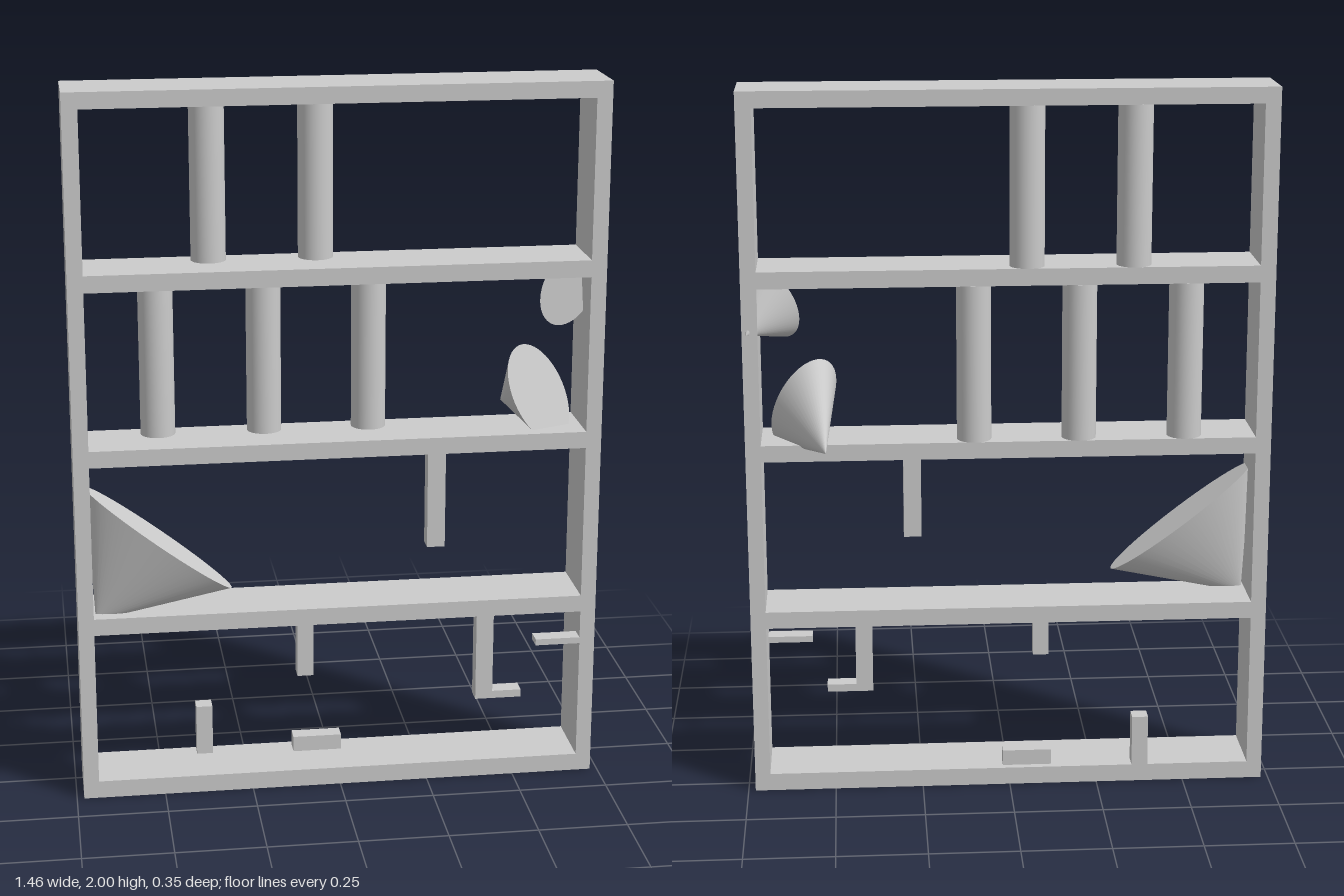
import * as THREE from 'three';

const material = new THREE.MeshStandardMaterial({ color: 0xcccccc });
const FRONT = 0.138, BACK = -0.055;

export function createModel() {
  const group = new THREE.Group();

  const add = (name, geometry) => {
    const mesh = new THREE.Mesh(geometry, material);
    mesh.name = name;
    group.add(mesh);
  };

  // Box given by its extents on each axis
  const box = (name, x0, x1, y0, y1, z0 = BACK, z1 = FRONT) => {
    const g = new THREE.BoxGeometry(x1 - x0, y1 - y0, z1 - z0);
    add(name, g.translate((x0 + x1) / 2, (y0 + y1) / 2, (z0 + z1) / 2));
  };

  // Cone with an elliptical base: base centre, two base half-axes and the apex
  const cone = (name, centre, u, v, apex) => {
    const c = new THREE.Vector3(...centre);
    const a = new THREE.Vector3(...u), b = new THREE.Vector3(...v);
    const axis = new THREE.Vector3(...apex).sub(c);
    const m = new THREE.Matrix4().makeBasis(a, axis, b);
    if (m.determinant() < 0) m.makeBasis(a, axis, b.negate());
    m.setPosition(c);
    add(name, new THREE.ConeGeometry(1, 1, 48).translate(0, 0.5, 0).applyMatrix4(m));
  };

  // Outer frame and shelves
  for (const s of [-1, 1]) box('sidePanel', s < 0 ? -0.73 : 0.687, s < 0 ? -0.687 : 0.73, 0, 2);
  const boards = [[0, 0.05], [0.492, 0.54], [0.979, 1.026], [1.466, 1.513], [1.955, 2]];
  boards.forEach(([y0, y1], i) =>
    box(i === 0 ? 'bottomBoard' : i === 4 ? 'topBoard' : 'shelf', -0.687, 0.687, y0, y1));

  // Round columns on the two upper levels
  const column = (x, y0, y1) => add('column',
    new THREE.CylinderGeometry(0.048, 0.048, y1 - y0, 32).translate(x, (y0 + y1) / 2, -0.01));
  for (const x of [-0.343, -0.05]) column(x, 1.513, 1.955);
  for (const x of [-0.49, -0.195, 0.097]) column(x, 1.026, 1.466);

  // Tilted cones resting in the corners
  cone('largeCone', [-0.5, 0.755, 0.092], [0.2, -0.155, 0], [0, 0, 0.081], [-0.68, 0.52, 0.092]);
  cone('mediumCone', [0.568, 1.12, 0.055], [0.061, -0.1275, 0.0255], [0.068, 0.0325, -0.04],
    [0.507, 1.035, -0.174]);
  cone('smallCone', [0.649, 1.41, 0.027], [0.075, 0.041, 0.01], [0, 0.091, -0.027],
    [0.718, 1.34, -0.06]);

  // Blocks hanging flush with the front
  const hang = 0.09;
  box('longHanger', 0.243, 0.293, 0.708, 0.979, hang);
  box('shortHanger', -0.122, -0.077, 0.34, 0.492, hang);
  box('hookStem', 0.388, 0.437, 0.24, 0.492, hang);
  box('hookFoot', 0.437, 0.52, 0.24, 0.262, hang);
  box('sideLedge', 0.56, 0.687, 0.395, 0.413, hang);

  // Blocks standing on the bottom board
  box('uprightBlock', -0.398, -0.352, 0.05, 0.197, BACK, -0.008);
  box('flatBlock', -0.12, 0.019, 0.05, 0.095, -0.035, 0.012);

  return group;
}
